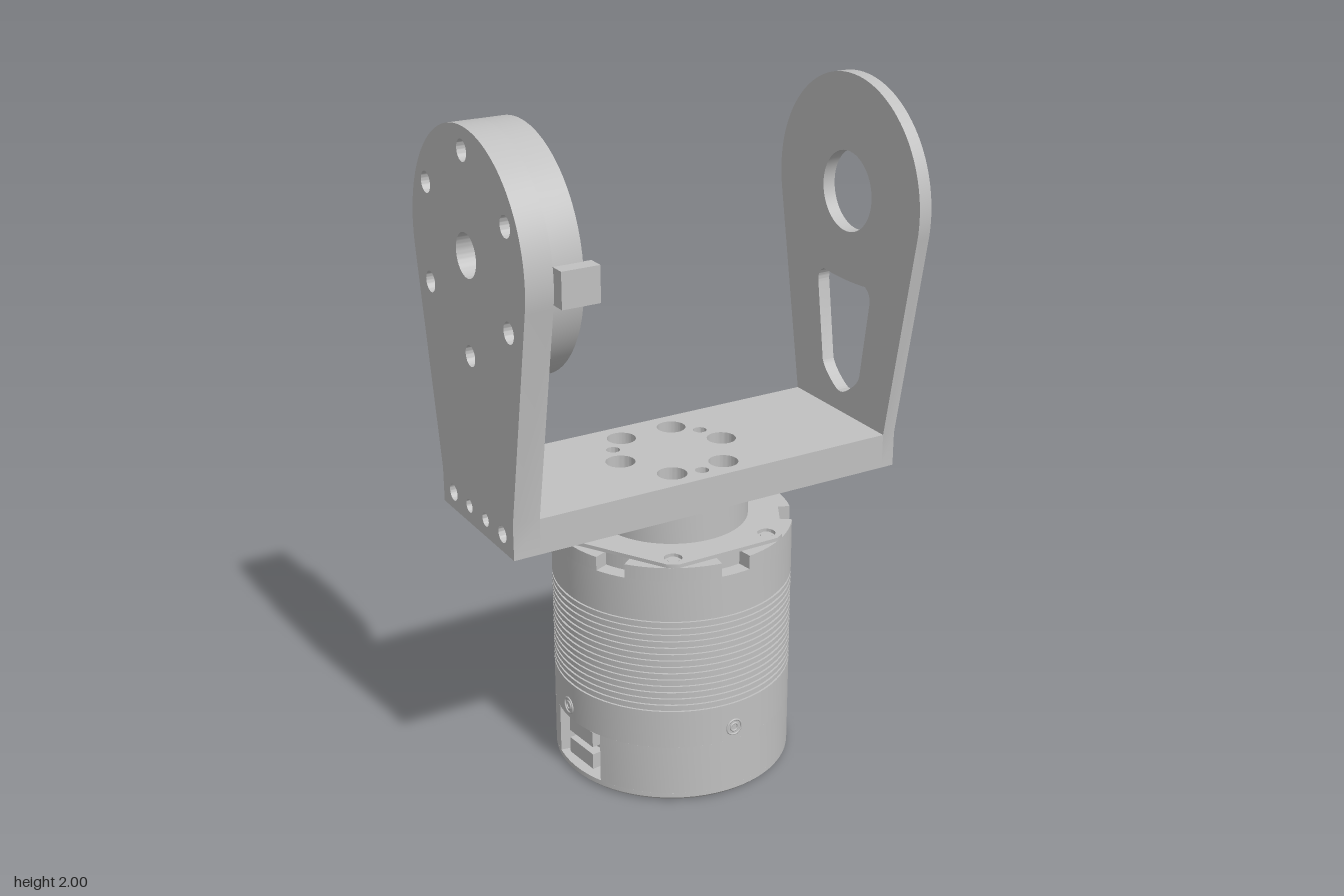
import * as THREE from 'three';
import { toCreasedNormals } from 'three/addons/utils/BufferGeometryUtils.js';

const metal = new THREE.MeshStandardMaterial({ color: 0xc0c0c0 });
metal.name = 'light grey metal';

const TAU = Math.PI * 2;

function add(parent, name, geometry) {
  const mesh = new THREE.Mesh(geometry, metal);
  mesh.name = name;
  parent.add(mesh);
  return mesh;
}

function hole(shape, x, y, r) {
  shape.holes.push(new THREE.Path().absarc(x, y, r, 0, TAU, true));
}

function extrude(shape, depth) {
  return new THREE.ExtrudeGeometry(shape, { depth, bevelEnabled: false, curveSegments: 32 });
}

// Upright slab between y0 and y1; the shape lies in x and -z
function layer(shape, y0, y1) {
  return toCreasedNormals(extrude(shape, y1 - y0).rotateX(-Math.PI / 2).translate(0, y0, 0), 0.5);
}

// Slab between x0 and x1; the shape lies in -z and y
function sideways(shape, x0, x1) {
  return toCreasedNormals(extrude(shape, x1 - x0).rotateY(Math.PI / 2).translate(x0, 0, 0), 0.5);
}

function lathe(points) {
  const g = new THREE.LatheGeometry(points.map(([r, y]) => new THREE.Vector2(r, y)), 72);
  return toCreasedNormals(g, 0.5);
}

// Round outline with radial notches cut into the rim
function notchedDisc(r, inner, angles, half) {
  const s = new THREE.Shape();
  angles.forEach((a, i) => {
    const next = i + 1 < angles.length ? angles[i + 1] : angles[0] + TAU;
    const p = [Math.cos(a - half) * inner, Math.sin(a - half) * inner];
    if (i === 0) s.moveTo(...p); else s.lineTo(...p);
    s.absarc(0, 0, inner, a - half, a + half, false);
    s.absarc(0, 0, r, a + half, next - half, false);
  });
  return s;
}

const sixth = (k, start = 0) => start + k * Math.PI / 3;
const six = [0, 1, 2, 3, 4, 5];

const AXIS = 1.655;
const BASE_BOTTOM = 0.862;
const BASE_TOP = 0.967;

// Arm plate: round head tapering to a straight foot
function armShape() {
  const s = new THREE.Shape();
  s.moveTo(-0.225, BASE_BOTTOM);
  s.lineTo(0.225, BASE_BOTTOM);
  s.lineTo(0.225, BASE_TOP);
  s.absarc(0, AXIS, 0.345, -0.18, Math.PI + 0.18, false);
  s.lineTo(-0.225, BASE_TOP);
  s.closePath();
  [[-0.157, 0.025], [-0.052, 0.02], [0.052, 0.02], [0.157, 0.025]]
    .forEach(([x, r]) => hole(s, x, 0.914, r));
  return s;
}

function boltCircle(s) {
  hole(s, 0, AXIS, 0.062);
  six.forEach(k => {
    const a = sixth(k, Math.PI / 2);
    hole(s, Math.cos(a) * 0.28, AXIS + Math.sin(a) * 0.28, 0.03);
  });
  return s;
}

function makeBracket() {
  const g = new THREE.Group();
  g.name = 'bracket';

  // Base slab in two layers, giving counterbored bolt holes
  for (const [name, y0, y1, r] of [['baseLower', BASE_BOTTOM, 0.922, 0.024], ['baseUpper', 0.922, BASE_TOP, 0.043]]) {
    const s = new THREE.Shape();
    s.moveTo(-0.55, -0.225);
    s.lineTo(0.585, -0.225);
    s.lineTo(0.585, 0.225);
    s.lineTo(-0.55, 0.225);
    s.closePath();
    six.forEach(k => hole(s, -0.008 + Math.cos(sixth(k)) * 0.17, Math.sin(sixth(k)) * 0.17, r));
    [30, 150, 270].forEach(d => {
      const a = d * Math.PI / 180;
      hole(s, -0.008 + Math.cos(a) * 0.17, Math.sin(a) * 0.17, 0.02);
    });
    add(g, name, layer(s, y0, y1));
  }

  // Thin arm with a bearing hole and a tapered window
  const thin = armShape();
  hole(thin, 0, AXIS, 0.12);
  const w = new THREE.Path();
  w.moveTo(-0.105, 1.392);
  w.quadraticCurveTo(-0.137, 1.375, -0.13, 1.34);
  w.lineTo(-0.095, 1.105);
  w.quadraticCurveTo(-0.085, 1.075, -0.03, 1.04);
  w.quadraticCurveTo(0, 1.02, 0.03, 1.04);
  w.quadraticCurveTo(0.085, 1.075, 0.095, 1.105);
  w.lineTo(0.13, 1.34);
  w.quadraticCurveTo(0.137, 1.375, 0.105, 1.392);
  w.quadraticCurveTo(0, 1.382, -0.105, 1.392);
  thin.holes.push(w);
  add(g, 'thinArm', sideways(thin, 0.585, 0.625));

  // Thick arm carrying the output disc
  add(g, 'thickArm', sideways(boltCircle(armShape()), -0.63, -0.55));
  const disc = new THREE.Shape().absarc(0, AXIS, 0.345, 0, TAU, false);
  add(g, 'outputDisc', sideways(boltCircle(disc), -0.55, -0.465));
  const ring = new THREE.Shape().absarc(0, AXIS, 0.205, 0, TAU, false);
  hole(ring, 0, AXIS, 0.175);
  add(g, 'discRing', sideways(ring, -0.465, -0.44));
  add(g, 'discTab', new THREE.BoxGeometry(0.11, 0.1, 0.047)).position.set(-0.495, AXIS, 0.3625);

  g.position.set(0.003, 0, -0.015);
  g.rotation.y = -0.007;
  return g;
}

function makeMotor() {
  const g = new THREE.Group();
  g.name = 'motor';
  const R = 0.355;

  // Chamfered foot and lower section with a connector opening
  add(g, 'foot', lathe([[0, 0], [R - 0.01, 0], [R, 0.01], [R, 0.025], [0, 0.025]]));
  add(g, 'lowerBody', layer(notchedDisc(R, 0.3, [Math.PI + 0.1], 0.3), 0.025, 0.18));
  const socket = new THREE.Group();
  socket.name = 'connector';
  for (const y of [0.065, 0.14]) {
    add(socket, 'connectorBlock', new THREE.BoxGeometry(0.06, 0.05, 0.12)).position.set(-0.305, y, 0);
  }
  socket.rotation.y = 0.1;
  g.add(socket);

  // Main body with fine cooling grooves
  const profile = [[0, 0.18], [R, 0.18]];
  for (let i = 0; i < 15; i++) {
    const y = 0.3 + i * 0.0207;
    profile.push([R, y], [R - 0.006, y], [R - 0.006, y + 0.007], [R, y + 0.007]);
  }
  profile.push([R, 0.72], [0, 0.72]);
  add(g, 'groovedBody', lathe(profile));

  // Notched rim
  const notches = six.map(k => sixth(k, Math.PI / 6));
  add(g, 'rim', layer(notchedDisc(R, 0.31, notches, 0.13), 0.72, 0.762));

  // Six-flatted cover with screw holes
  const cover = new THREE.Shape();
  for (let i = 0; i < 144; i++) {
    const a = i / 144 * TAU;
    const off = (a % (Math.PI / 3)) - Math.PI / 6;
    const r = Math.min(R, 0.315 / Math.cos(off));
    cover[i ? 'lineTo' : 'moveTo'](Math.cos(a) * r, Math.sin(a) * r);
  }
  cover.closePath();
  six.forEach(k => hole(cover, Math.cos(sixth(k)) * 0.312, Math.sin(sixth(k)) * 0.312, 0.026));
  add(g, 'cover', layer(cover, 0.762, 0.773));
  six.forEach(k => {
    const screw = add(g, 'coverScrew', new THREE.CylinderGeometry(0.018, 0.018, 0.006, 16));
    screw.position.set(Math.cos(sixth(k)) * 0.312, 0.765, Math.sin(sixth(k)) * 0.312);
  });

  // Output neck and its stop block
  add(g, 'neck', layer(new THREE.Shape().absarc(0, 0, 0.225, 0, TAU, false), 0.773, BASE_BOTTOM));
  add(g, 'neckStop', new THREE.BoxGeometry(0.11, 0.07, 0.05)).position.set(0, 0.825, -0.225);

  // Side screws around the lower body
  for (let k = 0; k < 4; k++) {
    const screw = new THREE.Group();
    screw.name = 'sideScrew';
    add(screw, 'screwRim', new THREE.TorusGeometry(0.024, 0.003, 8, 24)).position.z = R;
    add(screw, 'screwSocket', new THREE.TorusGeometry(0.012, 0.003, 8, 16)).position.z = R;
    screw.position.y = 0.22;
    screw.rotation.y = k * Math.PI / 2;
    g.add(screw);
  }

  g.position.set(-0.006, 0, -0.015);
  return g;
}

export function createModel() {
  const model = new THREE.Group();
  model.name = 'motorWithForkBracket';
  model.add(makeMotor(), makeBracket());
  return model;
}
